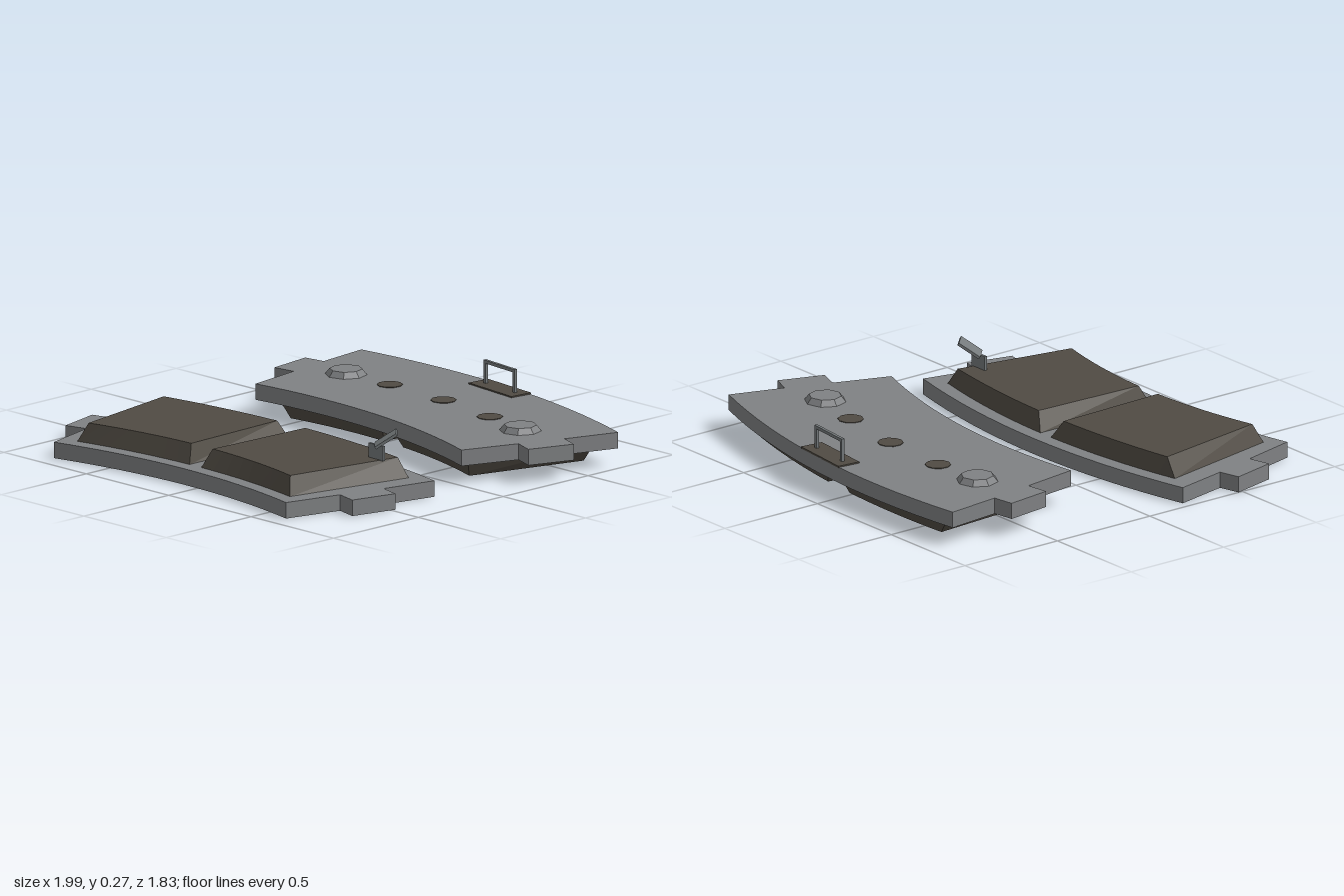
import * as THREE from 'three';

const mat = (name, color) => {
  const m = new THREE.MeshStandardMaterial({ color });
  m.name = name;
  return m;
};
const lerp = THREE.MathUtils.lerp;

export function createModel() {
  const steel = mat('backing steel', 0x808284);
  const clipSteel = mat('clip steel', 0x757a7c);
  const friction = mat('friction compound', 0x504b43);
  const model = new THREE.Group();
  model.name = 'brakePads';

  const add = (parent, name, geo, material, x = 0, y = 0, z = 0) => {
    const mesh = new THREE.Mesh(geo, material);
    mesh.name = name;
    mesh.position.set(x, y, z);
    parent.add(mesh);
    return mesh;
  };
  const flat = (geo) => {
    const g = geo.index ? geo.toNonIndexed() : geo;
    g.computeVertexNormals();
    return g;
  };

  // Curved edge: z at x, starting at z0 and gaining dz by x = w
  const bow = (x, z0, dz, w) => z0 + dz * (x / w) ** 2;

  // Backing plate: arched outline with a square ear at each end
  const ear = [[0.825, 0.455], [0.92, 0.48], [0.87, 0.685], [0.77, 0.66]];
  const outline = [];
  const N = 16;
  for (let i = 0; i <= N; i++) {
    const x = lerp(-0.88, 0.88, i / N);
    outline.push([x, bow(x, 0.105, 0.105, 0.88)]);
  }
  outline.push(...ear);
  for (let i = 0; i <= N; i++) {
    const x = lerp(0.705, -0.705, i / N);
    outline.push([x, bow(x, 0.83, 0.085, 0.705)]);
  }
  outline.push(...ear.slice().reverse().map(([x, z]) => [-x, z]));
  const plateGeo = new THREE.ExtrudeGeometry(
    new THREE.Shape(outline.map(([x, z]) => new THREE.Vector2(x, -z))),
    { depth: 0.07, bevelEnabled: false }
  ).rotateX(-Math.PI / 2);

  // Friction block: a box bent to the arch and chamfered towards its face
  const blockGeo = (side) => {
    const g = new THREE.BoxGeometry(1, 1, 1, 8, 1, 1);
    const p = g.attributes.position;
    for (let i = 0; i < p.count; i++) {
      const s = 0.5 + side * p.getX(i);
      const top = p.getY(i) > 0;
      const inner = p.getZ(i) > 0;
      let x, z;
      if (inner) {
        x = top ? lerp(0.065, 0.612, s) : lerp(0.035, 0.645, s);
        z = top ? bow(x, 0.725, 0.075, 0.612) : bow(x, 0.765, 0.07, 0.645);
      } else {
        x = top ? lerp(0.085, 0.71, s) : lerp(0.035, 0.77, s);
        z = top ? bow(x, 0.2, 0.062, 0.71) : bow(x, 0.17, 0.085, 0.77);
      }
      p.setXYZ(i, side * x, top ? 0.15 : 0.069, z);
    }
    return flat(g);
  };

  const makePad = (name) => {
    const pad = new THREE.Group();
    pad.name = name;
    add(pad, 'backingPlate', plateGeo, steel);
    add(pad, 'leftFrictionBlock', blockGeo(1), friction);
    add(pad, 'rightFrictionBlock', blockGeo(-1), friction);
    model.add(pad);
    return pad;
  };

  // Front pad lies friction side up
  makePad('frontPad').position.x = -0.08;

  // Rear pad lies friction side down, turned slightly
  const turn = -0.1055;
  const rear = makePad('rearPad');
  rear.position.set(0.127, 0.15, -0.999);
  rear.rotation.set(0, turn, Math.PI);

  // Chamfered studs and flush rivets on the rear pad's back
  const studGeo = flat(new THREE.CylinderGeometry(0.07, 0.09, 0.025, 8));
  for (const [x, z] of [[-0.52, -0.55], [0.667, -0.425]]) {
    add(model, 'stud', studGeo, steel, x, 0.1625, z).rotation.y = turn;
  }
  const rivetGeo = flat(new THREE.CylinderGeometry(0.055, 0.055, 0.006, 10));
  for (const [x, z] of [[-0.263, -0.558], [0.08, -0.541], [0.417, -0.487]]) {
    add(model, 'rivet', rivetGeo, friction, x, 0.15, z).rotation.y = turn;
  }

  // Wire loop on a thin base
  const clip = new THREE.Group();
  clip.name = 'wireClip';
  clip.position.set(0.112, 0.15, -0.842);
  clip.rotation.y = turn;
  model.add(clip);
  add(clip, 'clipBase', new THREE.BoxGeometry(0.295, 0.008, 0.105), friction, 0, 0.002, 0);
  for (const s of [-1, 1]) {
    add(clip, 'clipLeg', new THREE.BoxGeometry(0.014, 0.1, 0.014), clipSteel, s * 0.1, 0.05, -0.003);
  }
  add(clip, 'clipBar', new THREE.BoxGeometry(0.214, 0.014, 0.014), clipSteel, 0, 0.1, -0.003);

  // Wear indicator: upright tab with a tilted square leaf
  const wear = new THREE.Group();
  wear.name = 'wearIndicator';
  model.add(wear);
  add(wear, 'wearTab', new THREE.BoxGeometry(0.09, 0.065, 0.012), clipSteel, 0.585, 0.18, 0.342);
  const leaf = add(wear, 'wearLeaf', new THREE.BoxGeometry(0.108, 0.012, 0.09), clipSteel, 0.615, 0.237, 0.316);
  leaf.rotation.set(0, Math.PI / 4, 0.58);

  return model;
}
